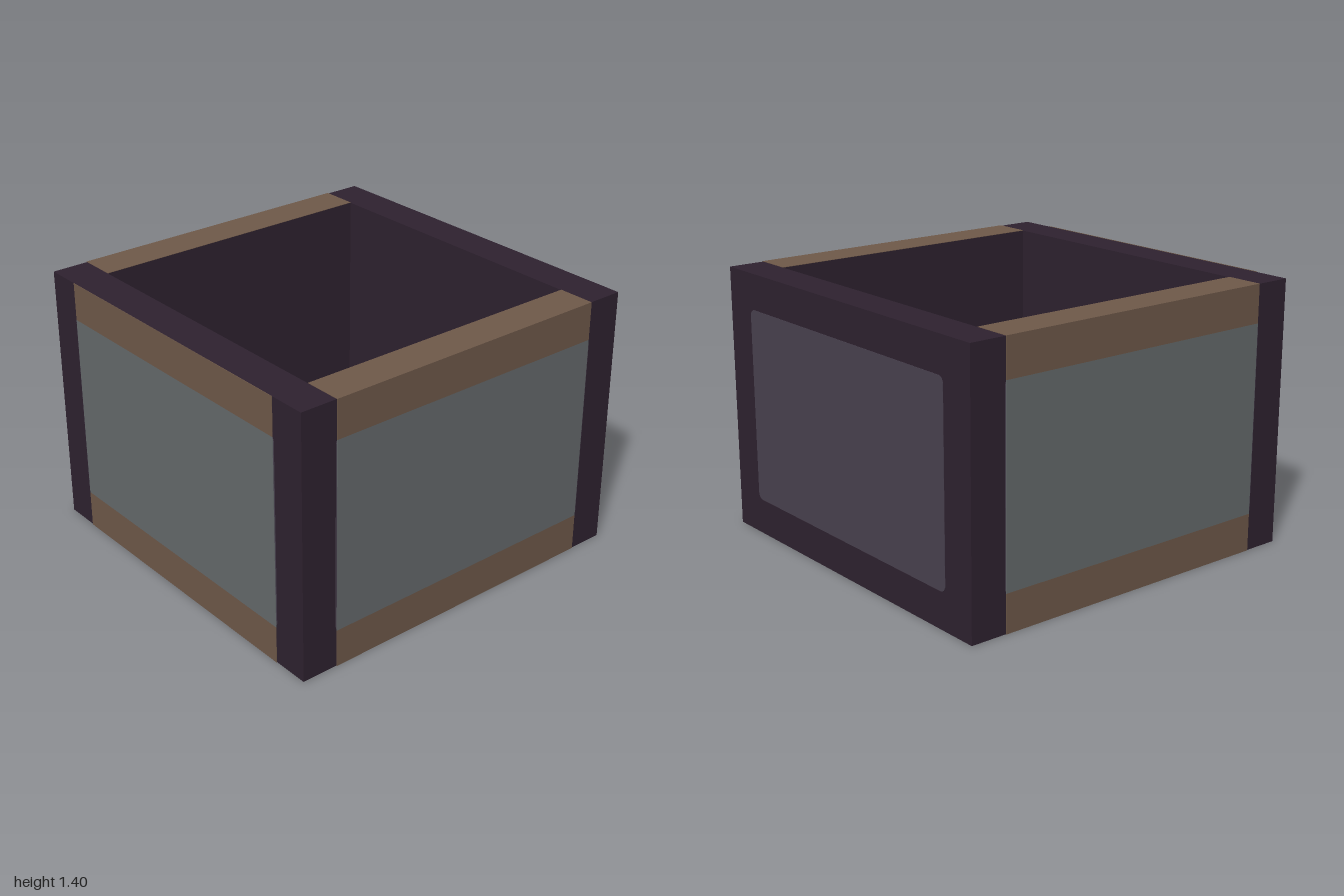
import * as THREE from 'three';

const mat = (name, color) => {
  const m = new THREE.MeshStandardMaterial({ color });
  m.name = name;
  return m;
};

function roundedRect(w, h, r) {
  const s = new THREE.Shape(), x = w / 2, y = h / 2;
  s.absarc(x - r, y - r, r, 0, Math.PI / 2);
  s.absarc(-x + r, y - r, r, Math.PI / 2, Math.PI);
  s.absarc(-x + r, -y + r, r, Math.PI, Math.PI * 1.5);
  s.absarc(x - r, -y + r, r, Math.PI * 1.5, Math.PI * 2);
  s.closePath();
  return s;
}

function squarePath(PathType, h) {
  const p = new PathType();
  p.moveTo(-h, -h).lineTo(h, -h).lineTo(h, h).lineTo(-h, h).closePath();
  return p;
}

export function createModel() {
  const dark = mat('darkFrame', 0x2f2230);
  const purple = mat('purplePanel', 0x4a4250);
  const brown = mat('brownTrim', 0x705a4a);
  const grey = mat('greyPanel', 0x666b6d);
  const H = 1.4, T = 0.002, core = 1 - 2 * T;

  const model = new THREE.Group();
  const add = (parent, name, geometry, material, x, y, z) => {
    const m = new THREE.Mesh(geometry, material);
    m.name = name;
    m.position.set(x, y, z);
    parent.add(m);
    return m;
  };

  // Four walls as one square ring, open above and below
  const ring = squarePath(THREE.Shape, core);
  ring.holes.push(squarePath(THREE.Path, 0.8));
  const walls = new THREE.ExtrudeGeometry(ring, { depth: H - T, bevelEnabled: false });
  walls.rotateX(-Math.PI / 2);
  add(model, 'walls', walls, dark, 0, 0, 0);

  const panel = new THREE.ExtrudeGeometry(roundedRect(1.61, 1.02, 0.035),
    { depth: T, bevelEnabled: false, curveSegments: 5 });
  const strip = new THREE.BoxGeometry(1.6, 0.2, T);
  const window_ = new THREE.BoxGeometry(1.6, 1, T);

  // Each side has a rounded panel; all but the right view's side are trimmed
  ['frontSide', 'leftSide', 'backSide', 'rightSide'].forEach((name, i) => {
    const side = new THREE.Group();
    side.name = name;
    side.rotation.y = i * Math.PI / 2;
    model.add(side);
    add(side, 'roundedPanel', panel, purple, 0, H / 2, core);
    if (name === 'leftSide') return;
    const z = 1 - T / 2;
    add(side, 'greyPanel', window_, grey, 0, H / 2, z);
    add(side, 'lowerTrim', strip, brown, 0, 0.1, z);
    add(side, 'upperTrim', strip, brown, 0, H - 0.1, z);
  });

  // Brown caps on the front and back rims
  for (const s of [1, -1]) {
    add(model, 'rimCap', new THREE.BoxGeometry(1.6, T, 0.2), brown, 0, H - T / 2, s * 0.9);
  }
  return model;
}
